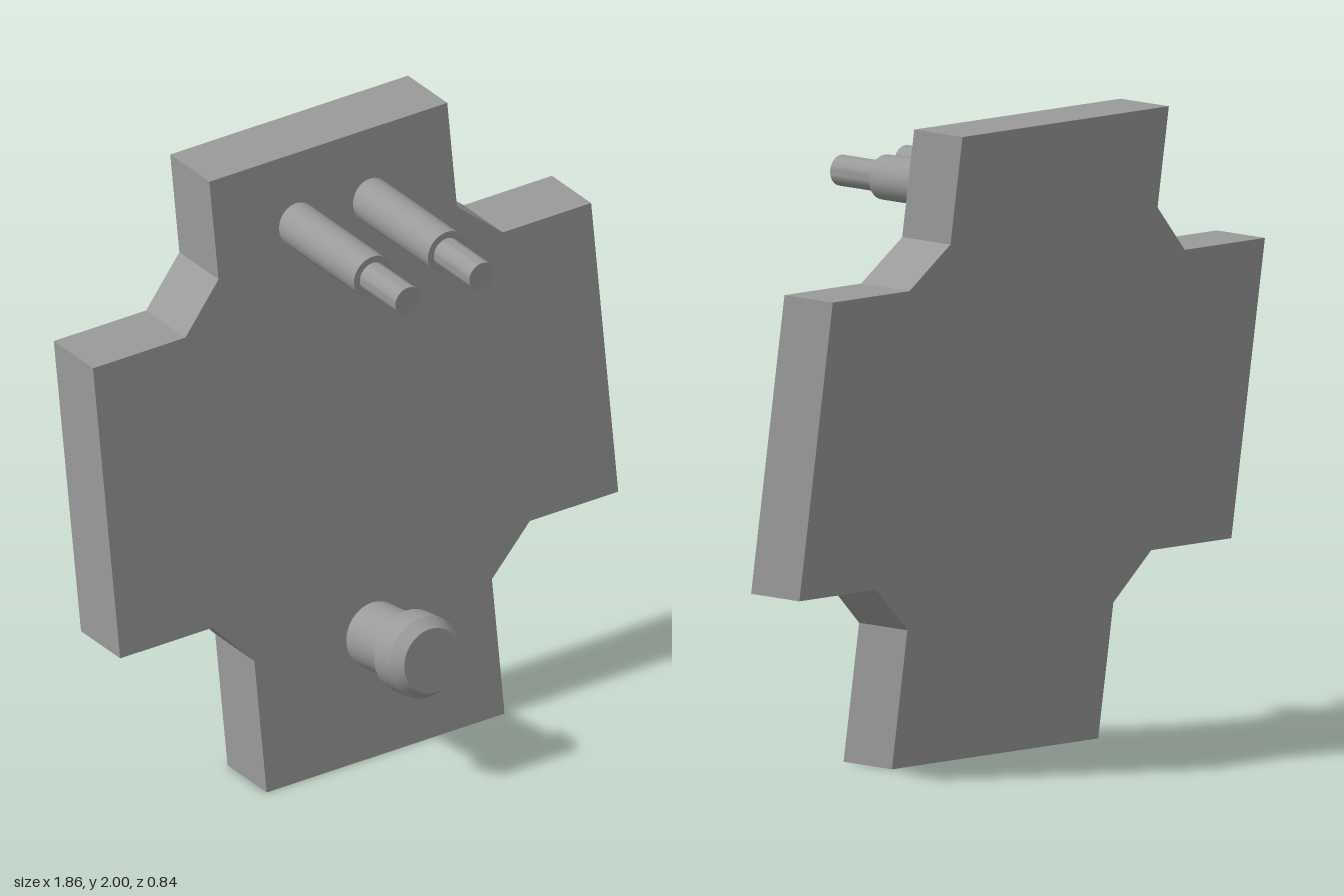
import * as THREE from 'three';
import { toCreasedNormals } from 'three/addons/utils/BufferGeometryUtils.js';

const SLOPE = 0.155; // backward lean of the plate, z per unit of height
const material = new THREE.MeshStandardMaterial({ color: 0x9a9a9a });

// Turned part whose axis points forward; profile is [radius, distance along axis]
function turned(name, profile, position, angle) {
  const points = profile.map(([r, h]) => new THREE.Vector2(r, h));
  const geometry = toCreasedNormals(new THREE.LatheGeometry(points, 32), 0.5);
  const mesh = new THREE.Mesh(geometry, material);
  mesh.name = name;
  mesh.position.set(...position);
  mesh.rotation.x = angle;
  return mesh;
}

// Cross-shaped plate with beveled inner corners, sheared backward
function createPlate() {
  const outline = [
    [-0.445, 0], [0.443, 0], [0.443, 0.44], [0.6, 0.585],
    [0.93, 0.585], [0.93, 1.53], [0.6, 1.53], [0.443, 1.66],
    [0.443, 2], [-0.445, 2], [-0.445, 1.68], [-0.585, 1.53],
    [-0.93, 1.53], [-0.93, 0.58], [-0.585, 0.58], [-0.445, 0.43],
  ];
  const shape = new THREE.Shape(outline.map(([x, y]) => new THREE.Vector2(x, y)));
  const geometry = new THREE.ExtrudeGeometry(shape, { depth: 0.212, bevelEnabled: false });
  const p = geometry.attributes.position;
  for (let i = 0; i < p.count; i++) p.setZ(i, p.getZ(i) - 0.112 - SLOPE * p.getY(i));
  geometry.computeVertexNormals();
  const plate = new THREE.Mesh(geometry, material);
  plate.name = 'plate';
  return plate;
}

export function createModel() {
  const model = new THREE.Group();
  model.name = 'plateWithPins';
  model.add(createPlate());

  // Two horizontal stepped pins near the top
  const pinProfile = [[0, 0], [0.07, 0], [0.07, 0.45], [0.048, 0.45], [0.048, 0.642], [0, 0.642]];
  for (const [name, x] of [['leftPin', 0.137], ['rightPin', -0.139]]) {
    model.add(turned(name, pinProfile, [x, 1.771, -0.22], Math.PI / 2));
  }

  // Knob standing square to the plate, with a chamfered head
  const knobProfile = [
    [0, -0.05], [0.106, -0.05], [0.106, 0.19], [0.132, 0.19],
    [0.132, 0.275], [0.105, 0.316], [0, 0.316],
  ];
  model.add(turned('knob', knobProfile, [0, 0.388, 0.04], Math.atan2(1, SLOPE)));

  return model;
}
